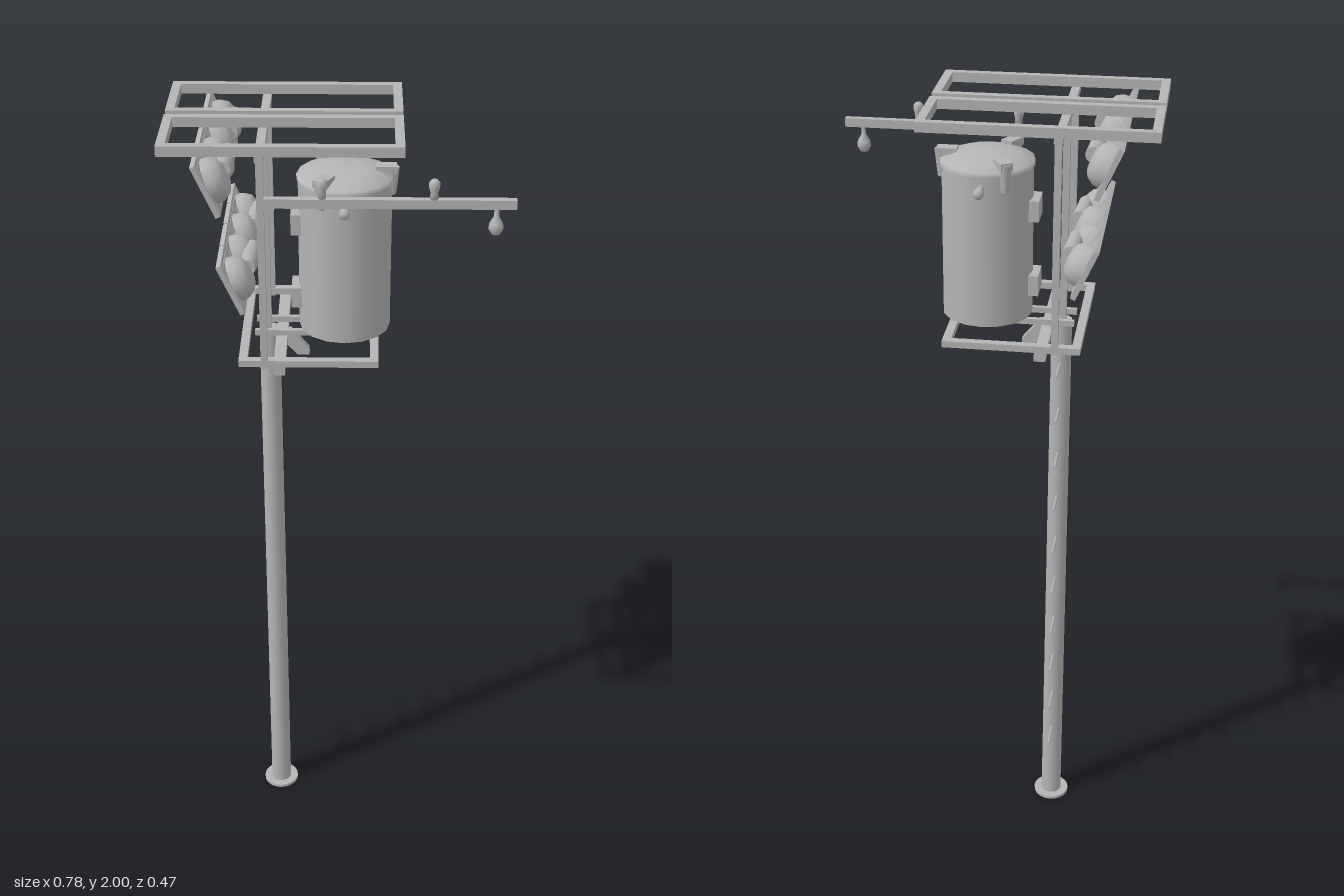
import * as THREE from 'three';

const steel = new THREE.MeshStandardMaterial({ color: 0xb4b4b4 });
steel.name = 'galvanised grey';

function add(parent, name, geo, x = 0, y = 0, z = 0) {
  const m = new THREE.Mesh(geo, steel);
  m.name = name;
  m.position.set(x, y, z);
  parent.add(m);
  return m;
}

// Box given by its min and max on each axis
function bar(parent, name, x0, x1, y0, y1, z0, z1) {
  return add(parent, name, new THREE.BoxGeometry(x1 - x0, y1 - y0, z1 - z0),
    (x0 + x1) / 2, (y0 + y1) / 2, (z0 + z1) / 2);
}

// Flat rectangular frame with an open middle, lying in the xz plane
function frame(parent, name, x0, x1, y0, y1, z0, z1, w) {
  const g = new THREE.Group();
  g.name = name;
  parent.add(g);
  bar(g, 'frameSide', x0, x1, y0, y1, z0, z0 + w);
  bar(g, 'frameSide', x0, x1, y0, y1, z1 - w, z1);
  bar(g, 'frameEnd', x0, x0 + w, y0, y1, z0 + w, z1 - w);
  bar(g, 'frameEnd', x1 - w, x1, y0, y1, z0 + w, z1 - w);
  return g;
}

function lathe(points, sides = 12) {
  return new THREE.LatheGeometry(points.map(p => new THREE.Vector2(p[0], p[1])), sides);
}

// Small pin insulator, base at its origin, growing along +y
const insulatorGeo = lathe([[0, 0], [0.009, 0], [0.009, 0.016], [0.012, 0.026],
  [0.012, 0.038], [0.007, 0.044], [0, 0.044]]);

// Floodlight facing local -x: square rim, glass and a bowl behind
function floodlight(parent, x, y, z) {
  const g = new THREE.Group();
  g.name = 'floodlight';
  g.position.set(x, y, z);
  g.rotation.z = 0.42;
  parent.add(g);
  const rim = frame(g, 'lampRim', -0.056, 0.056, -0.006, 0.006, -0.063, 0.063, 0.01);
  rim.rotation.set(Math.PI / 2, 0, Math.PI / 2, 'YXZ');
  rim.rotation.set(0, 0, Math.PI / 2);
  rim.children.forEach(c => c.updateMatrix());
  rim.scale.set(1.125, 1, 0.9);
  add(g, 'lampGlass', new THREE.BoxGeometry(0.006, 0.108, 0.096), 0.004);
  const bowl = add(g, 'lampBowl', lathe([[0.052, 0], [0.05, 0.016], [0.04, 0.032],
    [0.024, 0.04], [0, 0.042]], 14), 0.006);
  bowl.rotation.z = -Math.PI / 2;
}

export function createModel() {
  const model = new THREE.Group();
  model.name = 'utilityPole';
  const px = -0.167;

  // Pole, base flange and climbing rungs
  add(model, 'pole', new THREE.CylinderGeometry(0.025, 0.027, 1.465, 16), px, 0.7325, 0);
  add(model, 'baseFlange', new THREE.CylinderGeometry(0.047, 0.047, 0.008, 20), px, 0.004, 0);
  for (let i = 0; i < 10; i++) {
    const rung = add(model, 'rung', new THREE.CylinderGeometry(0.004, 0.004, 0.085, 6),
      px, 0.24 + i * 0.124, -0.0575);
    rung.rotation.x = Math.PI / 2;
  }

  // Twin top frames and the three posts carrying them
  frame(model, 'topFrame', -0.39, 0.143, 1.977, 2, -0.206, -0.012, 0.02);
  frame(model, 'topFrame', -0.39, 0.143, 1.977, 2, 0.009, 0.203, 0.02);
  bar(model, 'topCrossbar', -0.18, -0.16, 1.962, 1.977, -0.198, 0.2);
  for (const z of [-0.188, 0, 0.188])
    bar(model, 'post', -0.178, -0.162, 1.46, 1.977, z - 0.009, z + 0.009);

  // Lower platform
  frame(model, 'platformFrame', -0.23, 0.093, 1.464, 1.48, -0.197, 0.197, 0.02);
  bar(model, 'platformCrossarm', -0.15, -0.123, 1.442, 1.464, -0.197, 0.197);
  for (const z of [-0.035, 0.035])
    bar(model, 'platformJoist', -0.2, 0.075, 1.464, 1.478, z - 0.006, z + 0.006);

  // Triangular gusset under the platform
  const tri = new THREE.Shape();
  tri.moveTo(-0.142, 1.462);
  tri.lineTo(-0.142, 1.44);
  tri.lineTo(-0.1, 1.395);
  tri.lineTo(-0.072, 1.395);
  tri.lineTo(-0.072, 1.41);
  tri.lineTo(-0.115, 1.462);
  add(model, 'gusset', new THREE.ExtrudeGeometry(tri, { depth: 0.018, bevelEnabled: false }), 0, 0, -0.009);

  // Transformer tank with a shallow domed lid
  const tank = new THREE.Group();
  tank.name = 'transformer';
  tank.position.x = 0.013;
  model.add(tank);
  add(tank, 'tank', new THREE.CylinderGeometry(0.108, 0.108, 0.375, 16), 0, 1.6675, 0);
  add(tank, 'tankLid', lathe([[0.111, 1.845], [0.111, 1.858], [0.075, 1.872], [0.035, 1.879], [0, 1.88]], 16));

  // Lid clamps, a third of a turn apart
  for (let i = 0; i < 3; i++) {
    const pivot = new THREE.Group();
    pivot.name = 'lidClamp';
    pivot.rotation.y = i * Math.PI * 2 / 3;
    tank.add(pivot);
    bar(pivot, 'clampTop', 0.07, 0.118, 1.862, 1.88, -0.015, 0.015);
    add(pivot, 'clampLug', new THREE.CylinderGeometry(0.017, 0.01, 0.065, 8), 0.107, 1.843, 0);
  }

  // Side bushings
  for (const s of [-1, 1]) {
    const b = add(tank, 'sideBushing', insulatorGeo, 0, 1.82, s * 0.108);
    b.rotation.x = s * Math.PI / 2;
  }

  // Hanger lugs on the side facing the posts
  for (const y of [1.745, 1.56])
    bar(model, 'tankHanger', -0.112, -0.085, y - 0.025, y + 0.025, -0.035, 0.035);

  // Long side arm with a knee brace and insulators
  bar(model, 'sideArm', -0.178, 0.388, 1.857, 1.878, 0.18, 0.197);
  const knee = new THREE.Shape();
  knee.moveTo(-0.164, 1.858);
  knee.lineTo(-0.164, 1.822);
  knee.lineTo(-0.135, 1.858);
  add(model, 'kneeBrace', new THREE.ExtrudeGeometry(knee, { depth: 0.01, bevelEnabled: false }), 0, 0, 0.183);
  for (const x of [-0.035, 0.208])
    add(model, 'pinInsulator', insulatorGeo, x, 1.878, 0.188);
  add(model, 'hangingInsulator', lathe([[0, 1.793], [0.01, 1.797], [0.017, 1.81], [0.015, 1.822],
    [0.006, 1.838], [0.005, 1.858]]), 0.345, 0, 0.188);

  // Two rows of four floodlights, each pair sharing a ballast
  for (const [x, y] of [[-0.284, 1.909], [-0.238, 1.676]]) {
    for (const z of [-0.178, -0.06, 0.06, 0.178]) floodlight(model, x, y, z);
    for (const z of [-0.115, 0.11]) {
      const ballast = add(model, 'ballast', new THREE.CylinderGeometry(0.019, 0.019, 0.11, 12),
        x + 0.036, y + 0.024, z);
      ballast.rotation.set(Math.PI / 2, 0, 0.06);
    }
  }
  return model;
}
